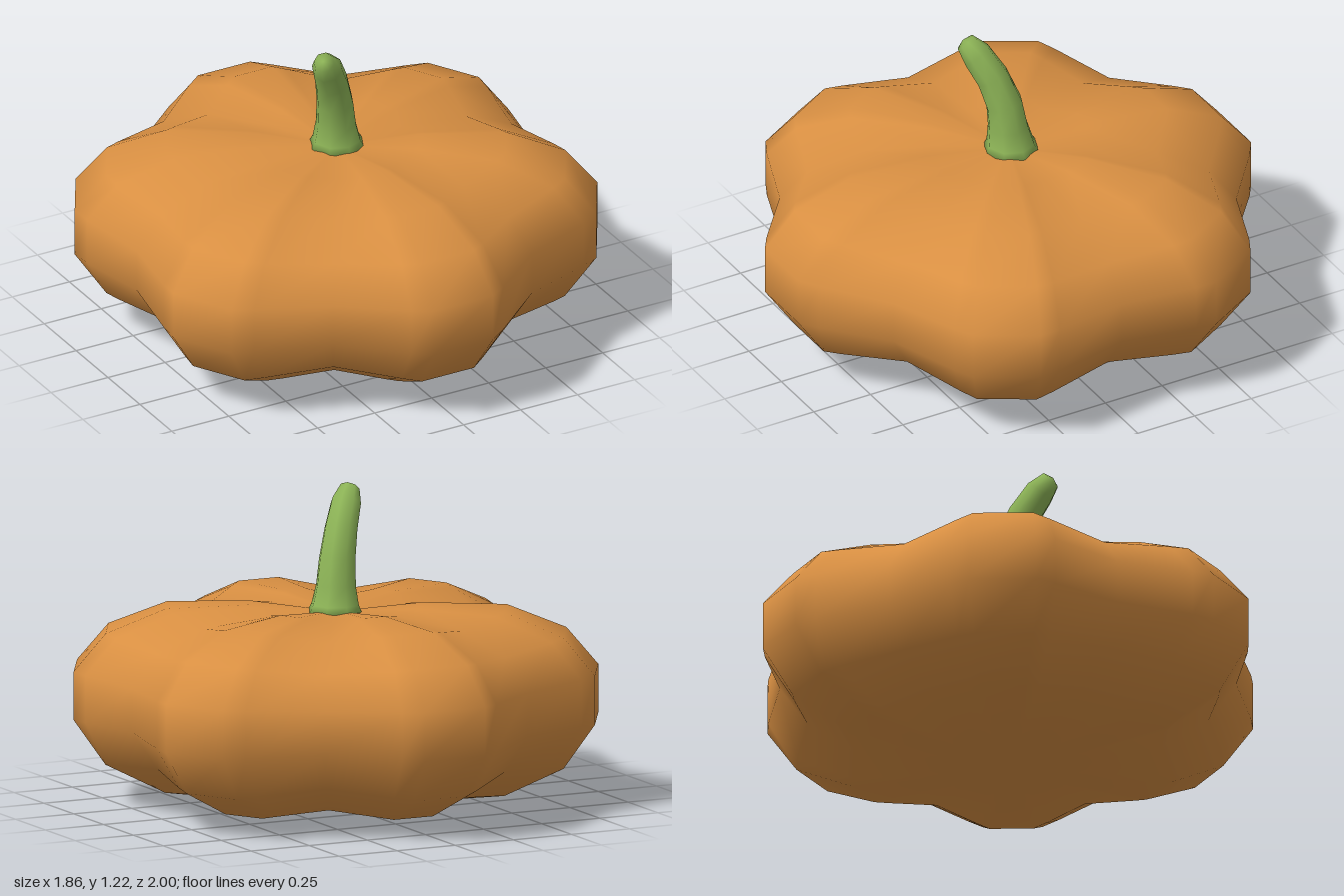
import * as THREE from 'three';

// Skin closed rings of points (bottom to top, counter-clockwise from above), with a centre point at each end
function loft(rings, bottom, top) {
  const n = rings[0].length, pos = [], idx = [];
  for (const ring of rings) for (const p of ring) pos.push(p.x, p.y, p.z);
  const b = rings.length * n, t = b + 1, last = (rings.length - 1) * n;
  pos.push(bottom.x, bottom.y, bottom.z, top.x, top.y, top.z);
  for (let j = 0; j < n; j++) {
    const k = (j + 1) % n;
    idx.push(b, k, j, t, last + j, last + k);
    for (let i = 0; i < rings.length - 1; i++) {
      const a = i * n + j, c = i * n + k;
      idx.push(a, c, c + n, a, c + n, a + n);
    }
  }
  const g = new THREE.BufferGeometry();
  g.setAttribute('position', new THREE.Float32BufferAttribute(pos, 3));
  g.setIndex(idx);
  g.computeVertexNormals();
  return g;
}

// Six-lobed flesh: each row is [radius, height on a lobe, height in a groove]
function fleshGeometry() {
  const rows = [
    [0.33, 0.02, 0.035], [0.655, 0.052, 0.08], [0.885, 0.165, 0.2], [1.007, 0.34, 0.35],
    [1.007, 0.53, 0.52], [0.885, 0.675, 0.645], [0.655, 0.768, 0.73], [0.33, 0.78, 0.757],
  ];
  // Columns across one lobe: [angle in degrees, share of full radius]
  const lobe = [[-30, 0.868], [-12, 0.965], [-7.4, 1], [7.4, 1], [12, 0.965]];
  const rings = rows.map(([r, yLobe, yGroove]) => {
    const ring = [];
    for (let l = 0; l < 6; l++) for (const [deg, f] of lobe) {
      const a = THREE.MathUtils.degToRad(l * 60 + deg);
      const w = (f - 0.868) / 0.132;
      ring.push(new THREE.Vector3(r * f * Math.sin(a), yGroove + (yLobe - yGroove) * w, r * f * Math.cos(a)));
    }
    return ring;
  });
  return loft(rings, new THREE.Vector3(0, 0.004, 0), new THREE.Vector3(0, 0.75, 0));
}

// Bent stem leaning to the front and -x: each row is [lean, height, radius, tilt in degrees]
function stemGeometry() {
  const rows = [
    [-0.015, 0.73, 0.12, 0], [-0.01, 0.78, 0.095, 0], [0, 0.85, 0.08, 4], [0.015, 0.95, 0.073, 14],
    [0.062, 1.06, 0.066, 28], [0.125, 1.15, 0.06, 40], [0.17, 1.198, 0.04, 46],
  ];
  const lean = new THREE.Vector3(-Math.SQRT1_2, 0, Math.SQRT1_2);
  const side = new THREE.Vector3(Math.SQRT1_2, 0, Math.SQRT1_2);
  const centre = (s, y) => lean.clone().multiplyScalar(s).setY(y);
  const rings = rows.map(([s, y, r, deg]) => {
    const t = THREE.MathUtils.degToRad(deg);
    const across = lean.clone().multiplyScalar(Math.cos(t)).setY(-Math.sin(t));
    return Array.from({ length: 8 }, (_, j) => {
      const a = -j * Math.PI / 4;
      return centre(s, y).addScaledVector(side, r * Math.cos(a)).addScaledVector(across, r * Math.sin(a));
    });
  });
  return loft(rings, centre(-0.015, 0.73), centre(0.18, 1.207));
}

export function createModel() {
  const orange = new THREE.MeshStandardMaterial({ color: 0xd88f42 });
  orange.name = 'orange skin';
  const green = new THREE.MeshStandardMaterial({ color: 0x8cb356 });
  green.name = 'green stem';

  const model = new THREE.Group();
  model.name = 'pumpkin';
  const flesh = new THREE.Mesh(fleshGeometry(), orange);
  flesh.name = 'flesh';
  const stem = new THREE.Mesh(stemGeometry(), green);
  stem.name = 'stem';
  model.add(flesh, stem);
  return model;
}
